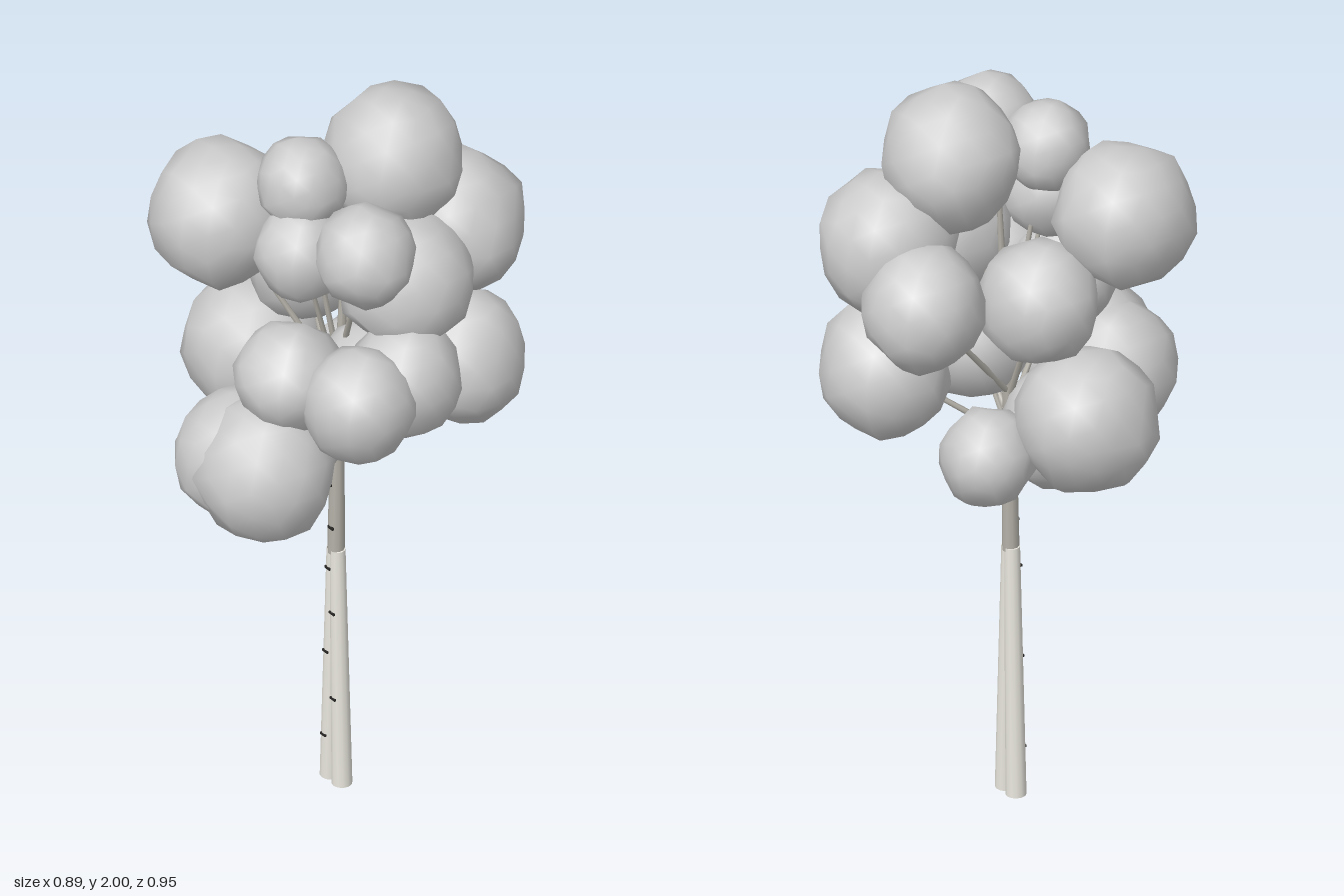
import * as THREE from 'three';
import { mergeVertices } from 'three/addons/utils/BufferGeometryUtils.js';

const leafMat = new THREE.MeshStandardMaterial({ color: 0xcccccc });
const paleBark = new THREE.MeshStandardMaterial({ color: 0xe9e7de });
const greyBark = new THREE.MeshStandardMaterial({ color: 0xb4b1a8 });
const darkBark = new THREE.MeshStandardMaterial({ color: 0x2a2826 });

// Foliage clumps: x, y, z, radius
const clumps = [
  [0.05, 1.815, -0.15, 0.176], [-0.197, 1.662, 0.2, 0.179], [0.262, 1.737, 0.1, 0.126],
  [-0.01, 1.805, 0.09, 0.113], [0.045, 1.65, 0.135, 0.119], [0.18, 1.55, -0.09, 0.172],
  [0.11, 1.595, -0.3, 0.178], [-0.075, 1.5, -0.317, 0.155], [-0.155, 1.465, -0.025, 0.152],
  [0.3, 1.335, 0.15, 0.143], [0.28, 1.34, -0.01, 0.143], [0.115, 1.345, 0.225, 0.138],
  [0.13, 1.24, -0.03, 0.15], [0.15, 1.22, -0.283, 0.168], [-0.27, 1.165, 0.04, 0.178],
  [0.11, 1.105, 0.3, 0.178], [0.025, 1.1, 0.31, 0.165], [-0.075, 1.04, 0.095, 0.157],
  [-0.15, 1.07, -0.175, 0.12],
];

function seeded(seed) {
  let s = seed;
  return () => (s = (s * 16807) % 2147483647) / 2147483647;
}

// Smooth, lumpy ball, slightly taller than wide
function clumpGeometry(r, rand) {
  let g = new THREE.IcosahedronGeometry(1, 2);
  g.deleteAttribute('uv');
  g.deleteAttribute('normal');
  g = mergeVertices(g, 1e-4);
  const p = g.attributes.position;
  const v = new THREE.Vector3();
  for (let i = 0; i < p.count; i++) {
    v.fromBufferAttribute(p, i).multiplyScalar(r * (0.94 + 0.11 * rand()));
    p.setXYZ(i, v.x, v.y * 1.06, v.z);
  }
  g.computeVertexNormals();
  return g;
}

// Tapered limb between two points
function limb(name, a, b, r0, r1, mat, sides = 8) {
  const dir = b.clone().sub(a);
  const mesh = new THREE.Mesh(new THREE.CylinderGeometry(r1, r0, dir.length(), sides), mat);
  mesh.position.copy(a).add(b).multiplyScalar(0.5);
  mesh.quaternion.setFromUnitVectors(new THREE.Vector3(0, 1, 0), dir.normalize());
  mesh.name = name;
  return mesh;
}

export function createModel() {
  const tree = new THREE.Group();
  tree.name = 'tree';
  const P = (x, y, z) => new THREE.Vector3(x, y, z);
  const cx = 0.018, cz = 0.005;

  // Lower trunk: two pale stems leaning together
  const trunk = new THREE.Group();
  trunk.name = 'trunk';
  for (const s of [-1, 1]) {
    trunk.add(limb('lowerStem', P(cx + s * 0.024, 0, cz), P(cx + s * 0.006, 0.69, cz), 0.026, 0.02, paleBark, 12));
  }
  // Upper trunk and thin leader inside the crown
  trunk.add(limb('upperTrunk', P(cx, 0.68, cz), P(cx, 1.08, 0), 0.022, 0.017, greyBark, 10));
  trunk.add(limb('leader', P(cx, 1.08, 0), P(cx, 1.7, -0.03), 0.016, 0.006, greyBark));

  // Dark bark scars on the front
  for (let i = 0; i < 7; i++) {
    const y = 0.13 + i * 0.126;
    const mark = new THREE.Mesh(new THREE.BoxGeometry(0.02, 0.006, 0.006), darkBark);
    const spread = Math.max(0.004, 0.024 - y * 0.026);
    mark.position.set(cx + (i % 2 ? 1 : -1) * spread, y, cz + 0.0245 - Math.min(y, 0.69) * 0.007);
    mark.name = 'barkMark';
    trunk.add(mark);
  }
  tree.add(trunk);

  // Crown: each clump hangs on its own branch
  const crown = new THREE.Group();
  const branches = new THREE.Group();
  crown.name = 'crown';
  branches.name = 'branches';
  const rand = seeded(4711);
  for (const [x, y, z, r] of clumps) {
    const ball = new THREE.Mesh(clumpGeometry(r, rand), leafMat);
    ball.position.set(x, y, z);
    ball.name = 'foliageClump';
    crown.add(ball);
    const forkY = 0.93 + (y - 1.05) * 0.43;
    branches.add(limb('branch', P(cx, forkY, 0), P(x, y, z), 0.009, 0.005, greyBark, 6));
  }
  tree.add(branches, crown);
  return tree;
}
